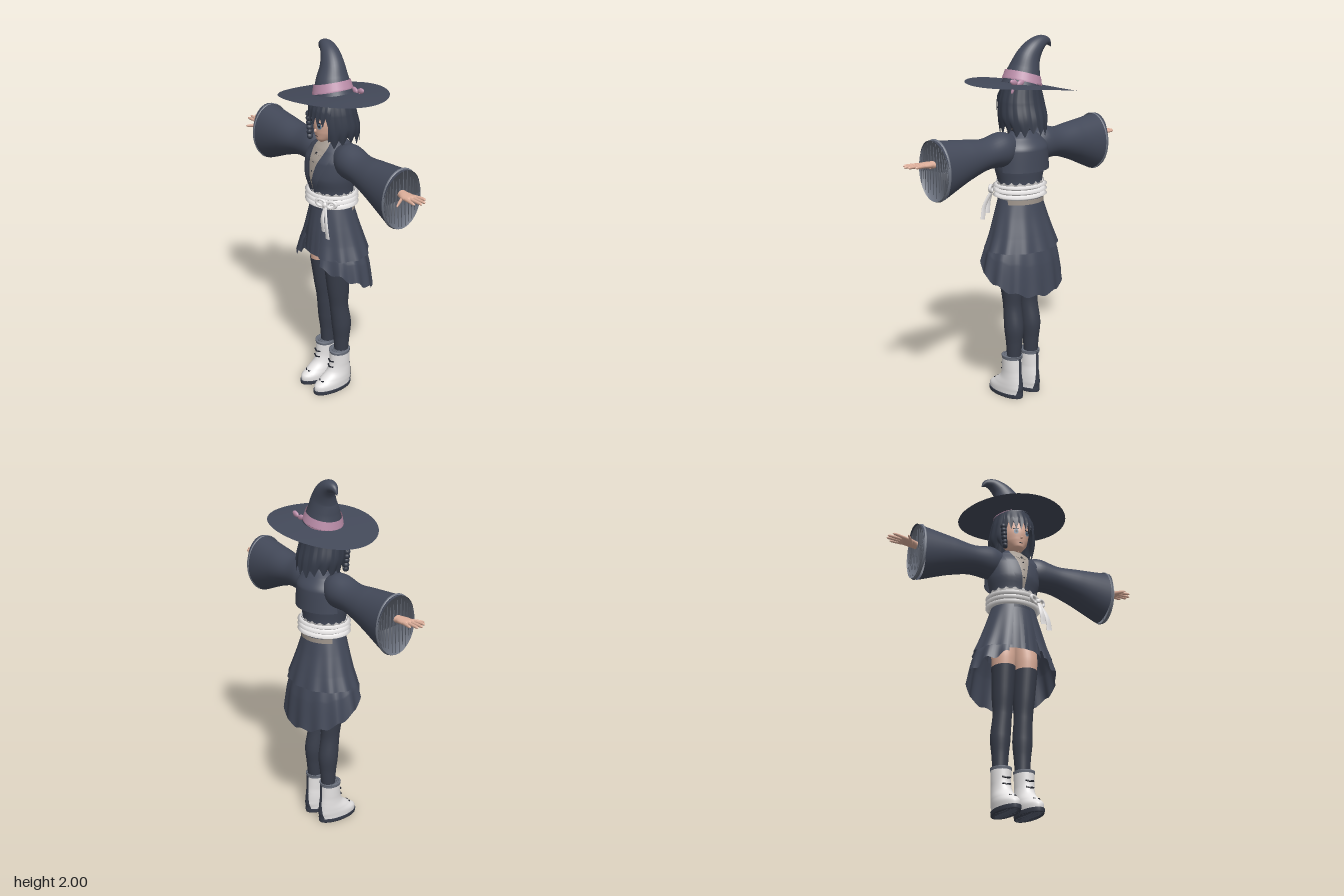
import * as THREE from 'three';
import { ParametricGeometry } from 'three/addons/geometries/ParametricGeometry.js';

const PI = Math.PI, TAU = PI * 2;
const mat = (name, color) => new THREE.MeshStandardMaterial({ name, color, side: THREE.DoubleSide });
const M = {
  navy: mat('navy cloth', 0x434959), dark: mat('dark stocking', 0x393e4b), hair: mat('hair', 0x363c4a),
  skin: mat('skin', 0xdcae9a), white: mat('white', 0xe6e4e4), beige: mat('beige shirt', 0xa69c93),
  pink: mat('pink ribbon', 0xbd8fab), grey: mat('grey trim', 0x6d7380), black: mat('black', 0x23262f),
  eye: mat('blue eye', 0x5c7890),
};

export function createModel() {
  const root = new THREE.Group();
  root.name = 'witchFigure';
  const add = (name, geo, m, pos = [0, 0, 0], scale = [1, 1, 1], rot = [0, 0, 0]) => {
    const mesh = new THREE.Mesh(geo, m);
    mesh.name = name;
    mesh.position.set(...pos); mesh.scale.set(...scale); mesh.rotation.set(...rot);
    root.add(mesh);
    return mesh;
  };
  const ball = (name, m, pos, scale, rot) => add(name, new THREE.SphereGeometry(1, 16, 12), m, pos, scale, rot);

  // Lofted skin through rows [x, y, z, radius in the xy plane, radius in z]; angle 0 faces the front
  const sweep = (name, m, rows, { nu = 32, nv = 20, th = u => u * TAU, mod = () => 1, f = () => {} } = {}) => {
    const path = new THREE.CatmullRomCurve3(rows.map(r => new THREE.Vector3(r[0], r[1], r[2])));
    const radii = new THREE.CatmullRomCurve3(rows.map(r => new THREE.Vector3(r[3], r[4], 0)));
    const c = new THREE.Vector3(), r = new THREE.Vector3(), d = new THREE.Vector3();
    return add(name, new ParametricGeometry((u, t, p) => {
      const a = th(u, t), k = mod(a, t);
      path.getPoint(t, c); radii.getPoint(t, r); path.getTangent(t, d);
      const l = Math.hypot(d.x, d.y) || 1, s = Math.sin(a) * r.x * k;
      p.set(c.x + s * d.y / l, c.y - s * d.x / l, c.z + Math.cos(a) * r.y * k);
      f(p, a, t);
    }, nu, nv), m);
  };
  const open = gap => u => gap + u * (TAU - 2 * gap);
  const saw = (a, n) => Math.abs(((a * n / TAU) % 1 + 1) % 1 - 0.5) * 2;

  // Hat
  add('hatBrim', new ParametricGeometry((u, v, p) => {
    const a = u * TAU, t = 1 - v * 0.75;
    p.set(Math.sin(a) * 0.316 * t, 1.75 - 0.01 * t * t + t * t * (0.035 * Math.sin(a) + 0.008 * Math.cos(a)
      + 0.011 * Math.cos(2 * a)) + 0.012 * Math.sin(PI * t) * Math.sin(a), Math.cos(a) * 0.27 * t);
  }, 56, 12), M.navy);
  sweep('hatCone', M.navy, [[0, 1.745, 0, 0.106, 0.104], [-0.015, 1.82, -0.003, 0.085, 0.085],
    [-0.033, 1.885, -0.014, 0.068, 0.064], [-0.068, 1.937, -0.026, 0.05, 0.05], [-0.113, 1.965, -0.034, 0.034, 0.036],
    [-0.152, 1.962, -0.038, 0.02, 0.02], [-0.178, 1.935, -0.04, 0.002, 0.002]], { nv: 32 });
  sweep('hatBand', M.pink, [[-0.005, 1.757, 0, 0.106, 0.107], [-0.012, 1.805, 0, 0.094, 0.096]],
    { nv: 3, f: p => { p.y += 0.15 * p.x; } });
  for (const k of [-1, 1]) ball('hatBowLoop', M.pink, [0.105 + k * 0.024, 1.772 + k * 0.004, -0.078], [0.026, 0.015, 0.01], [0, 0, k * 0.3]);
  ball('hatBowTail', M.pink, [0.13, 1.745, -0.075], [0.01, 0.03, 0.006], [0, 0, 0.4]);

  // Head and face
  sweep('neck', M.skin, [[0, 1.4, 0, 0.034, 0.034], [0, 1.56, 0.01, 0.03, 0.032]], { nv: 3 });
  sweep('head', M.skin, [[0, 1.497, 0.075, 0.003, 0.003], [0, 1.515, 0.055, 0.034, 0.045], [0, 1.55, 0.035, 0.062, 0.073],
    [0, 1.6, 0.025, 0.076, 0.09], [0, 1.66, 0.012, 0.08, 0.096], [0, 1.74, 0, 0.07, 0.085]]);
  ball('nose', M.skin, [0, 1.567, 0.112], [0.006, 0.01, 0.01]);
  add('mouth', new THREE.BoxGeometry(0.018, 0.003, 0.004), M.black, [0, 1.537, 0.105]);
  for (const s of [-1, 1]) {
    add('eye', new THREE.CircleGeometry(0.013, 20), M.eye, [s * 0.034, 1.598, 0.112], [1, 1.2, 1], [0, s * 0.4, 0]);
    add('pupil', new THREE.CircleGeometry(0.006, 16), M.black, [s * 0.034, 1.598, 0.114], [1, 1.3, 1], [0, s * 0.4, 0]);
    add('eyelash', new THREE.BoxGeometry(0.032, 0.005, 0.003), M.black, [s * 0.035, 1.615, 0.112], [1, 1, 1], [0, s * 0.4, 0]);
  }

  // Hair: back and sides, fringe and one braid
  sweep('hairBack', M.hair, [[0, 1.49, -0.015, 0.118, 0.128], [0, 1.57, -0.01, 0.132, 0.126],
    [0, 1.66, 0, 0.124, 0.115], [0, 1.75, 0, 0.1, 0.1]], {
    nu: 100, th: open(0.66), mod: a => 1 + 0.02 * saw(a, 17),
    f: (p, a, t) => { p.y += (1 - t) ** 3 * (0.045 * saw(a, 17) + 0.01 * Math.sin(5 * a)); },
  });
  sweep('fringe', M.hair, [[0, 1.6, 0.012, 0.118, 0.125], [0, 1.67, 0.008, 0.123, 0.122], [0, 1.75, 0, 0.1, 0.1]], {
    nu: 60, th: u => (u - 0.5) * 1.8, f: (p, a, t) => { p.y += (1 - t) ** 2 * 0.05 * saw(a, 26); },
  });
  for (let i = 0; i < 6; i++)
    ball('braidKnot', M.hair, [-0.1 + 0.002 * i, 1.625 - i * 0.024, 0.085], [0.018 - 0.001 * i, 0.017, 0.017], [0, 0, i % 2 ? 0.5 : -0.5]);

  // Coat body, shirt front, lapels, collar and back cape
  const body = [[0, 1.13, 0.01, 0.122, 0.105], [0, 1.23, 0.01, 0.128, 0.108], [0, 1.32, 0.014, 0.147, 0.122],
    [0, 1.4, 0.008, 0.15, 0.115], [0, 1.46, -0.002, 0.125, 0.092], [0, 1.505, -0.005, 0.06, 0.055]];
  const grown = (rows, g) => rows.map(r => [r[0], r[1], r[2], r[3] + g, r[4] + g]);
  sweep('coatBody', M.navy, body);
  const vee = t => 0.06 + 0.5 * t * t + 0.1 * t;
  sweep('shirtFront', M.beige, grown(body.slice(1), 0.005), { nu: 16, th: (u, t) => (u * 2 - 1) * vee(t) });
  for (const s of [-1, 1]) {
    sweep('lapel', M.navy, grown(body.slice(1), 0.014), { nu: 8, th: (u, t) => s * (vee(t) + (s * (u - 0.5) + 0.5) * (0.1 + 0.8 * t * (1.2 - t))) });
    add('shirtCollar', new THREE.BoxGeometry(0.05, 0.025, 0.008), M.beige, [s * 0.026, 1.448, 0.096], [1, 1, 1], [-0.6, s * 0.2, s * 0.6]);
  }
  sweep('collarBand', M.beige, [[0, 1.45, 0.005, 0.055, 0.06], [0, 1.495, 0, 0.04, 0.042]], { nv: 3 });
  ball('neckRibbon', M.black, [0, 1.44, 0.104], [0.012, 0.01, 0.006]);
  [1.3, 1.35, 1.4].forEach((y, i) => ball('shirtButton', M.black, [0, y, [0.14, 0.138, 0.129][i]], [0.004, 0.004, 0.004]));
  sweep('backCape', M.navy, [[0, 1.3, 0, 0.16, 0.136], [0, 1.42, 0, 0.152, 0.132], [0, 1.475, 0, 0.11, 0.09], [0, 1.51, 0, 0.05, 0.055]],
    { th: open(PI / 2 + 0.15) });

  // Sash with ruffled edge and bow
  for (let i = 0; i < 3; i++) {
    const y = 1.145 + i * 0.027;
    sweep('sashFold', M.white, [[0, y, 0.01, 0.128, 0.108], [0, y + 0.007, 0.01, 0.138, 0.118],
      [0, y + 0.022, 0.01, 0.138, 0.118], [0, y + 0.029, 0.01, 0.13, 0.11]], { nv: 6 });
  }
  sweep('sashRuffle', M.white, [[0, 1.215, 0.01, 0.131, 0.111], [0, 1.245, 0.01, 0.139, 0.119]],
    { nu: 96, nv: 4, f: (p, a, t) => { p.y -= t * 0.014 * Math.abs(Math.sin(a * 9)); } });
  sweep('sashBackStrip', M.beige, [[0, 1.122, 0.008, 0.135, 0.115], [0, 1.148, 0.008, 0.137, 0.117]], { nv: 2, th: open(1.9) });
  for (const k of [-1, 1]) add('bowLoop', new THREE.TorusGeometry(0.021, 0.009, 8, 20), M.white,
    [0.095 + k * 0.03, 1.19, 0.115 - k * 0.012], [1.2, 0.85, 1], [0, 0.5, k * 0.2]);
  ball('bowKnot', M.white, [0.095, 1.185, 0.122], [0.014, 0.016, 0.013]);
  for (const [x, y] of [[0.15, 1.015], [0.115, 1.045]])
    sweep('bowTail', M.white, [[x, y, 0.145, 0.017, 0.004], [x - 0.012, y + 0.07, 0.145, 0.014, 0.005], [0.095, 1.185, 0.12, 0.008, 0.006]], { nu: 12, nv: 8 });

  // Skirt layers: pleated inner skirt, coat tier and long back tier
  sweep('innerSkirt', M.navy, [[0, 0.87, 0.01, 0.15, 0.14], [0, 1, 0.01, 0.135, 0.125], [0, 1.14, 0.01, 0.12, 0.1]],
    { nu: 96, mod: (a, t) => 1 + 0.025 * (1 - t) * (saw(a, 18) - 0.5) });
  sweep('coatTier', M.navy, [[0, 0.875, -0.002, 0.222, 0.172], [0, 0.95, 0, 0.192, 0.152], [0, 1.05, 0.006, 0.158, 0.128], [0, 1.15, 0.01, 0.125, 0.107]],
    { nu: 90, th: open(0.38), mod: (a, t) => 1 + 0.025 * (1 - t) * Math.cos(12 * a) });
  sweep('longTier', M.navy, [[0, 0.63, -0.005, 0.25, 0.184], [0, 0.8, -0.004, 0.226, 0.17], [0, 0.95, 0, 0.18, 0.14]], {
    nu: 90, th: open(0.42), mod: (a, t) => 1 + 0.025 * (1 - t) * Math.cos(13 * a),
    f: (p, a, t) => { p.y = THREE.MathUtils.lerp(0.63 + 0.55 * (p.z + 0.19) + 0.012 * Math.cos(13 * a), 0.95, t); },
  });

  for (const s of [-1, 1]) {
    const side = rows => rows.map(r => [r[0] * s, ...r.slice(1)]);

    // Sleeve, cuff trim, arm and hand
    sweep('sleeve', M.navy, side([[0.06, 1.425, 0, 0.06, 0.06], [0.15, 1.42, 0.002, 0.093, 0.085], [0.25, 1.41, 0.007, 0.081, 0.085],
      [0.4, 1.396, 0.012, 0.109, 0.098], [0.582, 1.37, 0.015, 0.158, 0.115]]));
    sweep('cuffTrim', M.grey, side([[0.573, 1.37, 0.015, 0.158, 0.115], [0.577, 1.37, 0.015, 0.161, 0.118], [0.584, 1.37, 0.015, 0.159, 0.116],
      [0.584, 1.37, 0.015, 0.152, 0.109]]), { nv: 6 });
    sweep('forearm', M.skin, side([[0.2, 1.41, 0.01, 0.035, 0.035], [0.45, 1.405, 0.015, 0.028, 0.03], [0.61, 1.403, 0.022, 0.018, 0.024]]), { nu: 16 });
    sweep('palm', M.skin, side([[0.59, 1.403, 0.022, 0.018, 0.022], [0.63, 1.405, 0.027, 0.016, 0.034], [0.672, 1.408, 0.028, 0.011, 0.037],
      [0.685, 1.408, 0.028, 0.002, 0.03]]), { nu: 16, nv: 10 });
    for (const [x, z, z0] of [[0.73, -0.012, 0.0], [0.756, 0.012, 0.018], [0.76, 0.036, 0.036], [0.742, 0.065, 0.055]])
      sweep('finger', M.skin, side([[0.66, 1.408, z0, 0.009, 0.009], [x - 0.012, 1.411, z, 0.007, 0.007], [x, 1.41, z, 0.001, 0.001]]), { nu: 10, nv: 8 });
    sweep('thumb', M.skin, side([[0.615, 1.4, 0.03, 0.012, 0.012], [0.645, 1.396, 0.075, 0.01, 0.012], [0.67, 1.392, 0.11, 0.007, 0.008],
      [0.677, 1.39, 0.119, 0.001, 0.001]]), { nu: 10, nv: 10 });

    // Leg with stocking
    sweep('stocking', M.dark, side([[0.065, 0.2, -0.008, 0.037, 0.036], [0.065, 0.32, -0.01, 0.044, 0.046], [0.065, 0.42, -0.008, 0.053, 0.056],
      [0.062, 0.53, 0.006, 0.05, 0.053], [0.063, 0.63, 0.012, 0.056, 0.063], [0.066, 0.795, 0.026, 0.063, 0.072]]));
    sweep('thigh', M.skin, side([[0.066, 0.78, 0.025, 0.059, 0.068], [0.066, 0.86, 0.025, 0.063, 0.072], [0.06, 0.98, 0.015, 0.062, 0.07]]), { nv: 6 });

    // Boot, sole, rim, back strip and laces
    const boot = side([[0.066, 0.015, 0.056, 0.054, 0.119], [0.066, 0.045, 0.054, 0.056, 0.12], [0.066, 0.08, 0.032, 0.055, 0.097],
      [0.066, 0.115, 0.012, 0.051, 0.074], [0.067, 0.16, 0.005, 0.049, 0.063], [0.067, 0.238, 0.004, 0.052, 0.06]]);
    sweep('boot', M.white, boot);
    sweep('bootSole', M.dark, side([[0.066, 0.001, 0.056, 0.001, 0.001], [0.066, 0.0, 0.056, 0.055, 0.122], [0.066, 0.022, 0.056, 0.058, 0.125],
      [0.066, 0.023, 0.056, 0.05, 0.115]]), { nv: 12 });
    sweep('bootRim', M.grey, side([[0.067, 0.23, 0.004, 0.053, 0.061], [0.067, 0.246, 0.004, 0.055, 0.063], [0.067, 0.247, -0.002, 0.036, 0.036]]), { nv: 6 });
    sweep('bootBackStrip', M.dark, grown(boot, 0.003), { nu: 8, th: (u, t) => PI + (u - 0.5) * (0.35 + 0.7 * (1 - t) ** 2) });
    for (const [y, z] of [[0.185, 0.067], [0.15, 0.07], [0.075, 0.132]])
      for (const k of [-1, 1])
        add('bootLace', new THREE.BoxGeometry(0.024, 0.006, 0.008), M.black, [s * 0.067 + k * 0.012, y, z], [y < 0.1 ? 0.6 : 1, 1, 1], [-0.3, k * 0.25, k * 0.3]);
  }
  return root;
}
